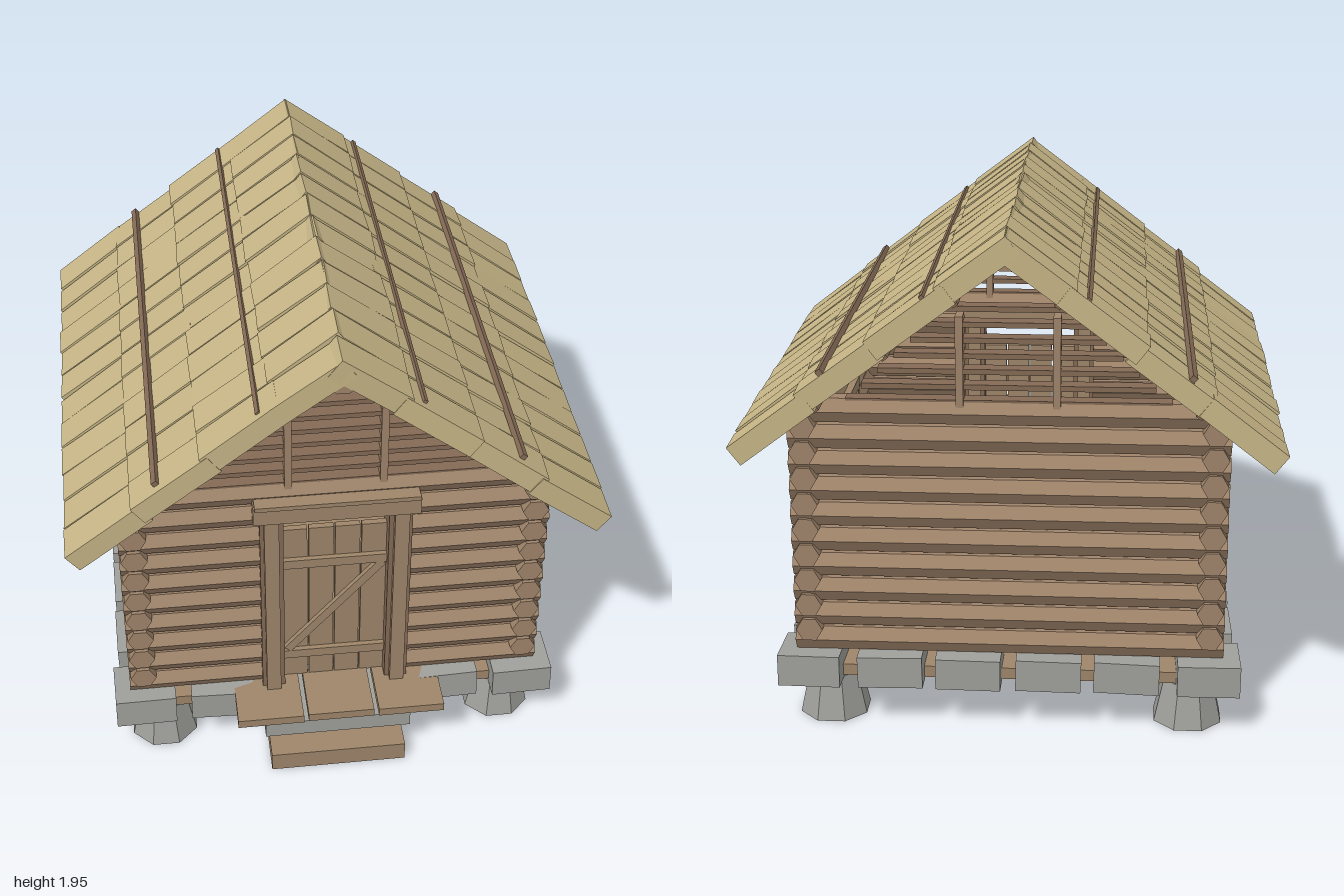
import * as THREE from 'three';

const mat = (name, color) => {
  const m = new THREE.MeshStandardMaterial({ color });
  m.name = name;
  return m;
};

export function createModel() {
  const model = new THREE.Group();
  model.name = 'logCabin';

  const wood = mat('logWood', 0x9f846a);
  const plank = mat('plankWood', 0x9e866a);
  const darkWood = mat('darkWood', 0x846a55);
  const straw = mat('roofStraw', 0xc6b586);
  const stone = mat('stone', 0x9f9f9b);

  let seed = 7;
  const jitter = (a) => {
    seed = (seed * 16807) % 2147483647;
    return (seed / 2147483647 - 0.5) * 2 * a;
  };
  const group = (name) => {
    const g = new THREE.Group();
    g.name = name;
    model.add(g);
    return g;
  };
  const add = (parent, name, geo, material) => {
    const flat = geo.toNonIndexed();
    flat.computeVertexNormals();
    const mesh = new THREE.Mesh(flat, material);
    mesh.name = name;
    parent.add(mesh);
    return mesh;
  };
  // Box given by its min and max on each axis
  const box = (parent, name, material, x0, x1, y0, y1, z0, z1) => {
    const m = add(parent, name, new THREE.BoxGeometry(x1 - x0, y1 - y0, z1 - z0), material);
    m.position.set((x0 + x1) / 2, (y0 + y1) / 2, (z0 + z1) / 2);
    return m;
  };
  // Six-sided logs with flat tops, along x or z
  const logX = (parent, name, x0, x1, y, z, r = 0.053, r2 = r) => {
    const g = new THREE.CylinderGeometry(r, r2, x1 - x0, 6);
    g.rotateZ(Math.PI / 2);
    add(parent, name, g, wood).position.set((x0 + x1) / 2, y, z);
  };
  const logZ = (parent, name, z0, z1, y, x, r0 = 0.05, r1 = r0) => {
    const g = new THREE.CylinderGeometry(r1, r0, z1 - z0, 6);
    g.rotateY(Math.PI / 6);
    g.rotateX(Math.PI / 2);
    add(parent, name, g, wood).position.set(x, y, (z0 + z1) / 2);
  };

  const FRONT = 0.73, BACK = -0.77, SIDE = 0.75;

  // Stone feet
  const feet = group('feet');
  for (const x of [-0.68, 0.68]) for (const z of [0.66, -0.70]) {
    const g = new THREE.CylinderGeometry(0.1, 0.138, 0.17, 8);
    g.rotateY(Math.PI / 8);
    add(feet, 'foot', g, stone).position.set(x, 0.085, z);
  }

  // Floor and the ring of foundation stones
  box(model, 'floor', plank, -0.77, 0.77, 0.18, 0.225, -0.79, 0.75);
  const stones = group('foundationStones');
  const block = (x, z, w, d) => {
    const m = box(stones, 'stone', stone, x - w / 2, x + w / 2, 0.168, 0.292, z - d / 2, z + d / 2);
    m.rotation.set(jitter(0.03), jitter(0.03), jitter(0.03));
  };
  for (const x of [-0.75, 0.75]) {
    for (const z of [0.725, -0.77]) block(x, z, 0.235, 0.205);
    for (const z of [0.42, 0.12, -0.18, -0.475]) block(x, z, 0.2, 0.245);
  }
  for (const x of [-0.445, -0.15, 0.15, 0.445]) block(x, -0.77, 0.245, 0.19);
  for (const x of [-0.445, 0.445]) block(x, 0.725, 0.245, 0.19);

  // Entrance steps
  const steps = group('entranceSteps');
  box(steps, 'lowerStep', plank, -0.27, 0.26, 0, 0.08, 0.82, 0.97);
  box(steps, 'stepStone', stone, -0.29, 0.28, 0.165, 0.235, 0.64, 0.945);
  for (const x of [-0.27, 0.005, 0.28]) {
    box(steps, 'stepPlank', plank, x - 0.128, x + 0.128, 0.255, 0.29, 0.72, 0.97 + jitter(0.006));
  }

  // Front and back log walls
  const walls = group('logWalls');
  for (let i = 0; i < 10; i++) {
    const y = 0.34 + i * 0.101, end = i === 9 ? 0.72 : 0.805;
    logX(walls, 'backLog', -end, end, y, BACK);
    if (i === 9) logX(walls, 'frontTopLog', -end, end, y, FRONT);
    else for (const s of [-1, 1]) {
      logX(walls, 'frontLog', s < 0 ? -end : 0.25, s < 0 ? -0.25 : end, y, FRONT);
    }
  }
  // Side log walls, with pointed log ends beside the windows
  for (const s of [-1, 1]) for (let i = 0; i < 9; i++) {
    const y = 0.385 + i * 0.101, x = s * SIDE;
    if (i === 5 || i === 6) {
      logZ(walls, 'sideLog', 0.27, 0.79, y, x);
      logZ(walls, 'sideLogTip', 0.2, 0.27, y, x, 0.015, 0.05);
      logZ(walls, 'sideLog', -0.83, -0.31, y, x);
      logZ(walls, 'sideLogTip', -0.31, -0.24, y, x, 0.05, 0.015);
    } else logZ(walls, 'sideLog', -0.83, 0.79, y, x);
  }

  // Windows on both sides
  for (const s of [-1, 1]) {
    const w = group(s > 0 ? 'leftWindow' : 'rightWindow');
    const bar = (name, y0, y1, z0, z1, a = 0.69, b = 0.825) =>
      box(w, name, plank, s > 0 ? a : -b, s > 0 ? b : -a, y0, y1, z0, z1);
    bar('windowSill', 0.785, 0.83, -0.26, 0.21);
    bar('windowHead', 1.01, 1.055, -0.26, 0.21);
    bar('windowJamb', 0.82, 1.02, 0.172, 0.205, 0.69, 0.815);
    bar('windowJamb', 0.82, 1.02, -0.25, -0.217, 0.69, 0.815);
    bar('windowMullion', 0.83, 1.01, -0.032, -0.01, 0.745, 0.77);
  }

  // Door frame
  const door = group('door');
  for (const s of [-1, 1]) {
    const f = (name, m, a, b, y1, z0, z1) =>
      box(door, name, m, s > 0 ? a : -b, s > 0 ? b : -a, 0.285, y1, z0, z1);
    f('doorPost', plank, 0.215, 0.27, 1.17, 0.66, 0.815);
    f('innerJamb', darkWood, 0.197, 0.22, 1.165, 0.67, 0.79);
    f('outerJamb', darkWood, 0.265, 0.285, 1.165, 0.67, 0.79);
  }
  box(door, 'lintel', plank, -0.31, 0.31, 1.15, 1.225, 0.67, 0.82);
  box(door, 'lintelCap', plank, -0.305, 0.305, 1.225, 1.243, 0.67, 0.835);
  // Door leaf with battens and diagonal brace
  for (let i = 0; i < 4; i++) {
    const x = -0.15 + i * 0.1;
    box(door, 'doorPlank', plank, x - 0.047, x + 0.047, 0.285, 1.05 + jitter(0.004), 0.715, 0.74);
  }
  for (const y of [0.42, 0.89]) box(door, 'doorBatten', plank, -0.197, 0.197, y - 0.02, y + 0.02, 0.738, 0.76);
  const brace = add(door, 'doorBrace', new THREE.BoxGeometry(0.56, 0.033, 0.02), plank);
  brace.position.set(0, 0.66, 0.75);
  brace.rotation.z = Math.atan2(0.42, 0.36);

  // Gables: thin slats with two uprights
  for (const z of [FRONT, BACK]) {
    const gable = group(z > 0 ? 'frontGable' : 'backGable');
    for (let i = 0; i < 7; i++) {
      const y = 1.287 + i * 0.0583, half = 0.59 - i * 0.06;
      box(gable, 'gableSlat', darkWood, -half, half, y - 0.01, y + 0.01, z - 0.03, z + 0.03);
    }
    for (const x of [-0.175, 0.175]) {
      box(gable, 'gablePost', wood, x - 0.014, x + 0.014, 1.27, 1.61, z - 0.04, z + 0.04);
    }
  }

  // Ridge log
  const ridge = new THREE.CylinderGeometry(0.058, 0.058, 1.83, 8);
  ridge.rotateY(Math.PI / 8);
  ridge.rotateX(Math.PI / 2);
  add(model, 'ridgeLog', ridge, wood).position.set(0, 1.855, 0.01);

  // Roof slopes: a grid of thick thatch slabs, battens and rafters
  const slope = Math.atan(0.79), len = 1.275;
  for (const s of [-1, 1]) {
    const roof = group(s > 0 ? 'leftRoof' : 'rightRoof');
    roof.position.y = 1.95;
    roof.rotation.y = s > 0 ? 0 : Math.PI;
    const pitch = new THREE.Group();
    pitch.name = 'roofSlope';
    pitch.rotation.z = -slope;
    roof.add(pitch);
    const z = (v) => s * v;
    for (let r = 0; r < 4; r++) for (let c = 0; c < 12; c++) {
      const x0 = r === 0 ? 0.005 : r * 0.32 - 0.03, x1 = Math.min((r + 1) * 0.318, len);
      const slab = add(pitch, 'thatchSlab', new THREE.BoxGeometry(x1 - x0, 0.082, 0.15 + jitter(0.004)), straw);
      slab.position.set((x0 + x1) / 2 + jitter(0.004), -0.046 + jitter(0.004), z(-0.888 + c * 0.158 + jitter(0.004)));
      slab.rotation.set(jitter(0.03), jitter(0.02), 0.02 + jitter(0.01));
    }
    const strip = (name, x, y, w, h, z0, z1) => {
      const m = add(pitch, name, new THREE.BoxGeometry(w, h, z1 - z0), darkWood);
      m.position.set(x, y, z((z0 + z1) / 2));
    };
    strip('roofBatten', 0.828, 0.006, 0.022, 0.022, -0.96, 0.895);
    strip('roofBatten', 0.37, -0.003, 0.016, 0.016, -0.96, 0.895);
    for (const x of [0.31, 0.63, 0.95]) strip('purlin', x, -0.098, 0.025, 0.02, -0.9, 0.86);
    for (const zc of [FRONT, BACK]) strip('rafter', 0.63, -0.1, 1.0, 0.02, zc - 0.02, zc + 0.02);
  }

  return model;
}
